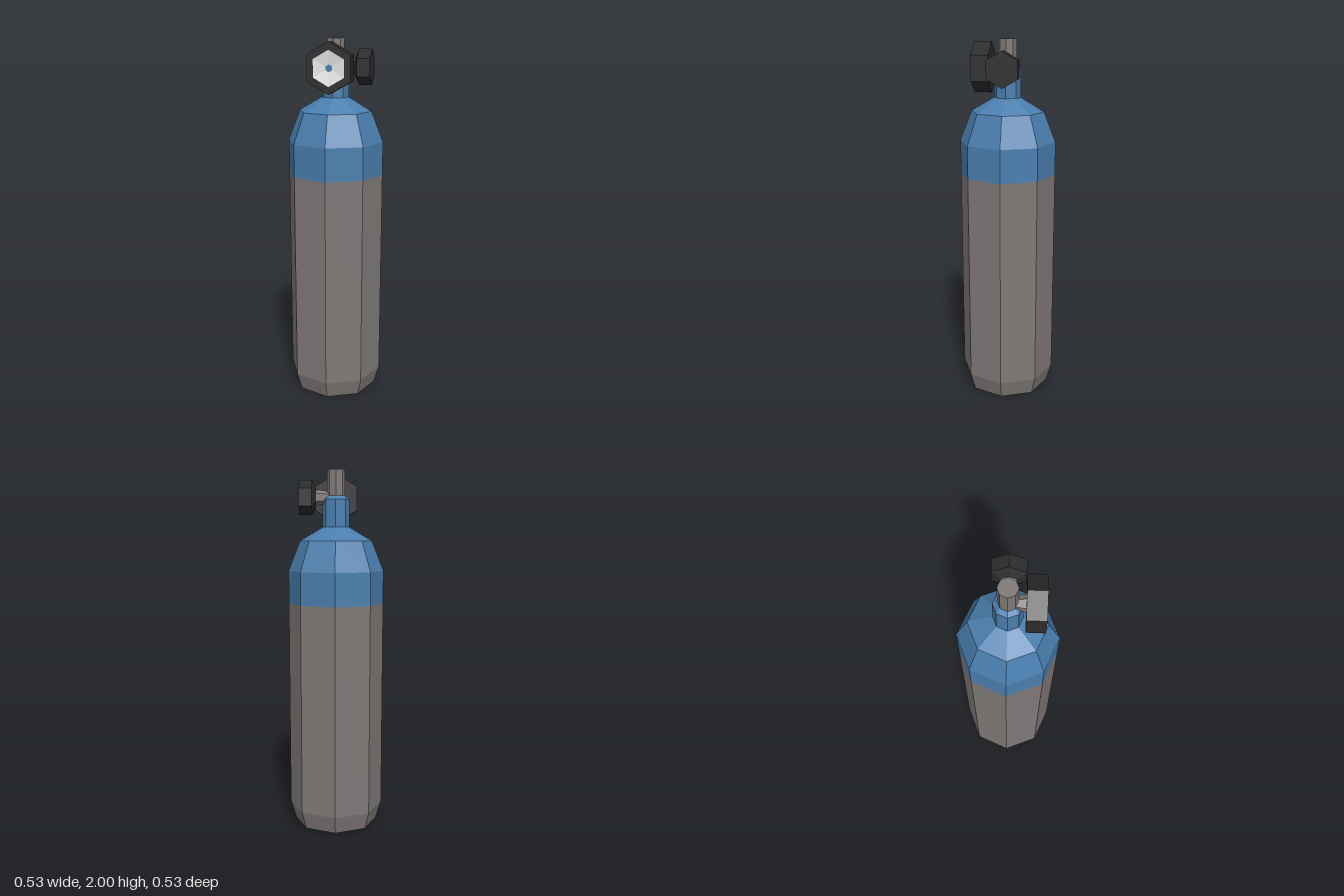
import * as THREE from 'three';

const mat = (name, color) => {
  const m = new THREE.MeshStandardMaterial({ color, flatShading: true });
  m.name = name;
  return m;
};

export function createModel() {
  const group = new THREE.Group();
  const steel = mat('warm grey metal', 0x807a78);
  const blue = mat('blue paint', 0x4a7eae);
  const black = mat('black rubber', 0x2c2c2c);
  const white = mat('white dial', 0xeaeaea);

  // Faceted turned part from [radius, height] pairs listed bottom to top
  const turned = (name, profile, sides, material, parent = group, phi = 0) => {
    const points = profile.map(([r, y]) => new THREE.Vector2(r, y));
    const mesh = new THREE.Mesh(new THREE.LatheGeometry(points, sides, phi), material);
    mesh.name = name;
    parent.add(mesh);
    return mesh;
  };

  // Tank
  turned('tankBody', [[0, 0], [0.235, 0], [0.265, 0.1], [0.265, 1.27]], 8, steel);
  turned('tankShoulder', [[0.265, 1.27], [0.265, 1.45], [0.2, 1.615], [0.074, 1.69]], 8, blue);
  turned('neck', [[0.074, 1.69], [0.074, 1.84], [0.05, 1.86]], 8, blue);
  turned('valveStem', [[0.05, 1.84], [0.05, 2], [0, 2]], 8, steel);

  // Side valve: local y runs along +x
  const valve = new THREE.Group();
  valve.name = 'sideValve';
  valve.position.y = 1.85;
  valve.rotation.z = -Math.PI / 2;
  group.add(valve);
  turned('valveStalk', [[0, 0.02], [0.033, 0.03], [0.044, 0.115]], 6, steel, valve, Math.PI / 2);
  turned('valveKnob', [[0, 0.11], [0.05, 0.11], [0.095, 0.131], [0.095, 0.2], [0, 0.2]],
    6, black, valve, Math.PI / 2);

  // Front gauge: local y runs along +z
  const gauge = new THREE.Group();
  gauge.name = 'pressureGauge';
  gauge.position.y = 1.85;
  gauge.rotation.x = Math.PI / 2;
  group.add(gauge);
  turned('gaugeStalk', [[0, 0.02], [0.033, 0.03], [0.044, 0.09]], 6, steel, gauge);
  turned('gaugeHousing', [[0, 0.085], [0.135, 0.085], [0.135, 0.179], [0.094, 0.179]], 6, black, gauge);
  turned('gaugeDial', [[0.094, 0.179], [0.02, 0.168]], 6, white, gauge);
  turned('dialCentre', [[0.02, 0.168], [0, 0.167]], 6, blue, gauge);

  return group;
}
